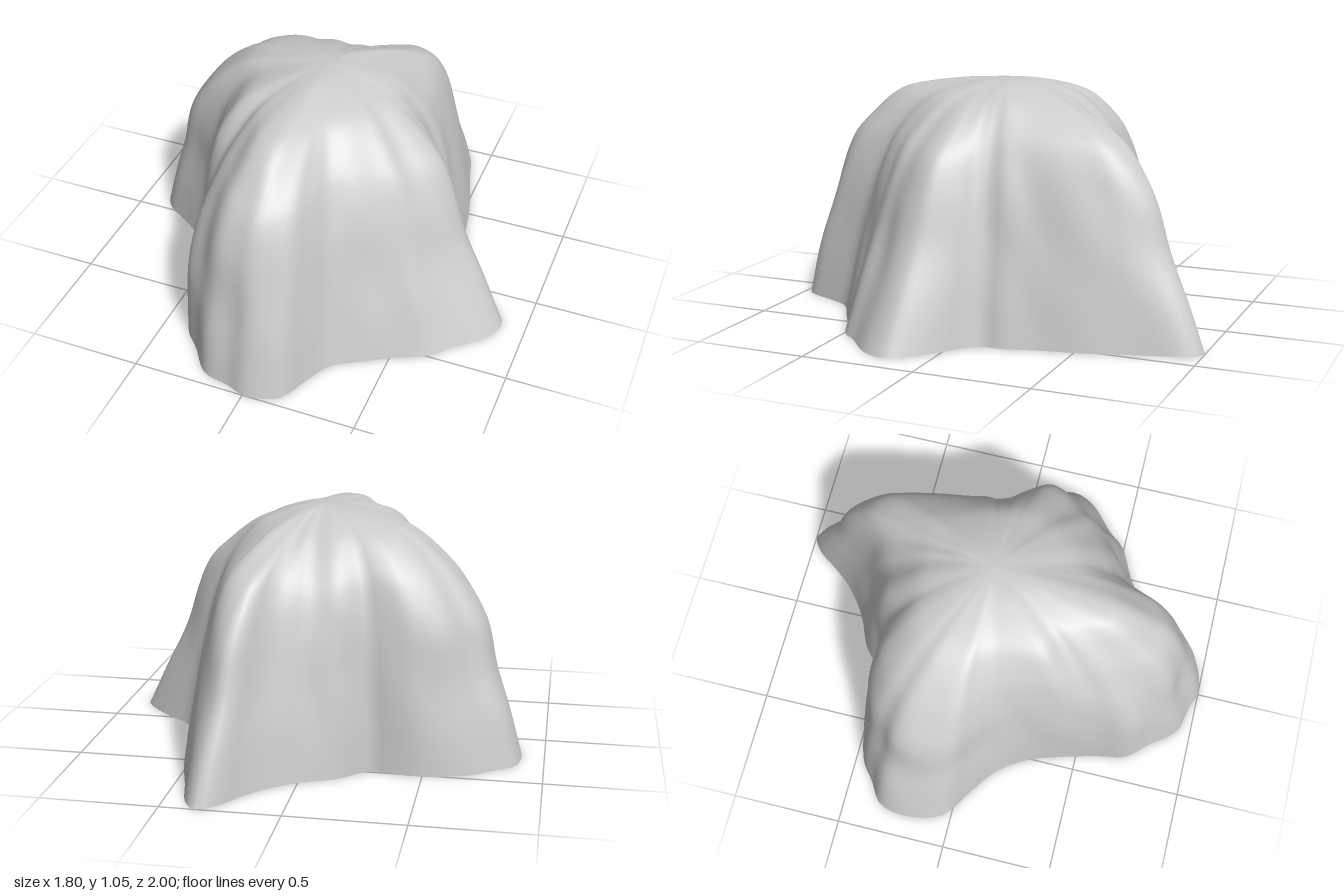
import * as THREE from 'three';

// Footprint of the boulder on the ground, as x, z pairs
const FOOTPRINT = [
  0.35, -1, 0.4, -0.95, 0.46, -0.75, 0.52, -0.55, 0.56, -0.35, 0.6, -0.2, 0.6, -0.13, 0.65, -0.06,
  0.73, 0, 0.82, 0.08, 0.89, 0.17, 0.89, 0.22, 0.85, 0.3, 0.72, 0.42, 0.66, 0.49, 0.52, 0.56,
  0.42, 0.62, 0.28, 0.71, 0.22, 0.82, 0.15, 0.96, 0.06, 0.995, 0, 1, -0.08, 0.97, -0.2, 0.94,
  -0.3, 0.82, -0.38, 0.73, -0.41, 0.6, -0.45, 0.45, -0.51, 0.28, -0.6, 0.15, -0.72, 0.06, -0.85, -0.03,
  -0.89, -0.12, -0.9, -0.25, -0.87, -0.34, -0.78, -0.4, -0.7, -0.46, -0.5, -0.51, -0.36, -0.5, -0.28, -0.49,
  -0.15, -0.6, 0, -0.67, 0.12, -0.76, 0.2, -0.85, 0.28, -0.96,
];

// Heights, and how far each lobe or valley has drawn in at them
const HEIGHTS = [0, 0.2, 0.4, 0.6, 0.75, 0.85, 0.95, 1.0, 1.04, 1.05];
const PROFILES = [
  { angle: 0.22, scale: [1, 0.89, 0.78, 0.7, 0.62, 0.51, 0.37, 0.24, 0.1, 0] },      // left lobe (+x)
  { angle: 1.14, scale: [1, 0.94, 0.87, 0.8, 0.72, 0.64, 0.51, 0.38, 0.17, 0] },     // front left valley
  { angle: 1.4, scale: [1, 0.95, 0.89, 0.82, 0.74, 0.64, 0.5, 0.36, 0.16, 0] },      // front lobe, left flank
  { angle: 1.66, scale: [1, 0.96, 0.91, 0.87, 0.81, 0.72, 0.61, 0.49, 0.22, 0] },    // front lobe
  { angle: 2.1, scale: [1, 0.99, 0.96, 0.88, 0.77, 0.67, 0.53, 0.41, 0.19, 0] },     // front lobe, right flank
  { angle: 2.41, scale: [1, 0.99, 0.97, 0.92, 0.86, 0.79, 0.66, 0.5, 0.23, 0] },     // front right valley
  { angle: 3.36, scale: [1, 0.94, 0.86, 0.81, 0.71, 0.61, 0.47, 0.34, 0.14, 0] },    // right lobe (-x)
  { angle: 4.19, scale: [1, 0.98, 0.95, 0.91, 0.85, 0.77, 0.62, 0.46, 0.21, 0] },    // back right valley
  { angle: 4.75, scale: [1, 0.95, 0.88, 0.81, 0.74, 0.64, 0.48, 0.34, 0.16, 0] },    // back lobe, right flank
  { angle: 5.05, scale: [1, 0.92, 0.83, 0.76, 0.67, 0.57, 0.37, 0.25, 0.13, 0] },    // back lobe
  { angle: 5.27, scale: [1, 0.95, 0.89, 0.82, 0.75, 0.66, 0.47, 0.33, 0.15, 0] },    // back lobe, left flank
  { angle: 6.07, scale: [1, 0.94, 0.87, 0.8, 0.72, 0.64, 0.51, 0.38, 0.17, 0] },     // back left valley
].map(({ angle, scale }) => ({
  angle,
  curve: new THREE.SplineCurve(scale.map((s, i) => new THREE.Vector2(s, HEIGHTS[i]))),
}));

// Smoothly blended profile point (scale, height) in a given direction
function profileAt(angle, t) {
  const turn = Math.PI * 2;
  for (let i = 0; i < PROFILES.length; i++) {
    const a = PROFILES[i], b = PROFILES[(i + 1) % PROFILES.length];
    const span = (b.angle - a.angle + turn) % turn;
    const offset = (angle - a.angle + 2 * turn) % turn;
    if (offset <= span) {
      const k = THREE.MathUtils.smoothstep(offset / span, 0, 1);
      return a.curve.getPoint(t).lerp(b.curve.getPoint(t), k);
    }
  }
}

function boulderGeometry(around = 180, rows = 45) {
  const points = [];
  for (let i = 0; i < FOOTPRINT.length; i += 2) {
    points.push(new THREE.Vector3(FOOTPRINT[i], 0, FOOTPRINT[i + 1]));
  }
  const rim = new THREE.CatmullRomCurve3(points, true).getSpacedPoints(around).slice(0, around);
  const position = [], index = [];

  for (let r = 0; r < rows; r++) {
    for (const p of rim) {
      const angle = Math.atan2(p.z, p.x);
      const { x: s, y } = profileAt(angle, r / rows);
      // gentle weathering that fades out at the ground and the crown
      const bump = 0.004 * Math.sin(Math.PI * Math.min(y / 1.05, 1))
        * (Math.sin(9 * angle + 7 * y) + Math.sin(15 * angle - 11 * y + 1));
      const k = s * (1 + bump);
      position.push(p.x * k, y, p.z * k);
    }
  }
  position.push(0, 1.05, 0);

  for (let r = 0; r < rows; r++) {
    for (let i = 0; i < around; i++) {
      const j = (i + 1) % around;
      const a = r * around + i, b = r * around + j;
      if (r === rows - 1) index.push(a, rows * around, b);
      else index.push(a, a + around, b, b, a + around, b + around);
    }
  }

  const geometry = new THREE.BufferGeometry();
  geometry.setAttribute('position', new THREE.Float32BufferAttribute(position, 3));
  geometry.setIndex(index);
  geometry.computeVertexNormals();
  return geometry;
}

export function createModel() {
  const group = new THREE.Group();
  group.name = 'rock';
  // Hollow shell, open underneath
  const material = new THREE.MeshStandardMaterial({ color: 0xcccccc, side: THREE.DoubleSide });
  const boulder = new THREE.Mesh(boulderGeometry(), material);
  boulder.name = 'boulder';
  group.add(boulder);
  return group;
}
